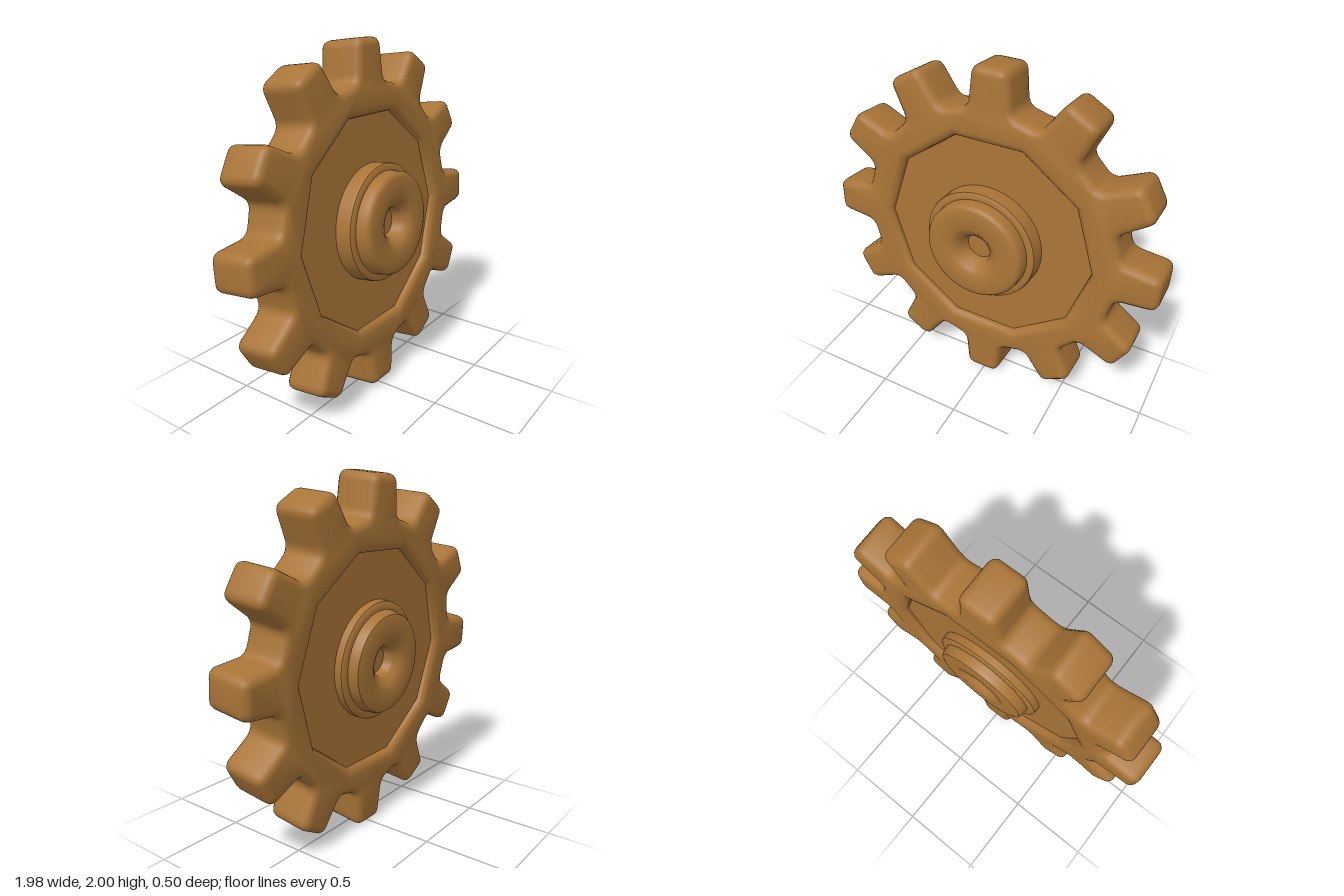
import * as THREE from 'three';
import { toCreasedNormals } from 'three/addons/utils/BufferGeometryUtils.js';

const TEETH = 12;
const FRONT = 0.1, BACK = -0.16, BEVEL = 0.042;

// Closed outline whose corners [x, y, rounding] are softened with quadratic curves
function roundedShape(corners) {
  const shape = new THREE.Shape();
  const n = corners.length;
  corners.forEach(([x, y, r], i) => {
    const p = new THREE.Vector2(x, y);
    const toward = (q) => new THREE.Vector2(q[0], q[1]).sub(p).setLength(r).add(p);
    const a = toward(corners[(i + n - 1) % n]);
    const b = toward(corners[(i + 1) % n]);
    if (i === 0) shape.moveTo(a.x, a.y);
    else shape.lineTo(a.x, a.y);
    shape.quadraticCurveTo(p.x, p.y, b.x, b.y);
  });
  shape.closePath();
  return shape;
}

// Toothed rim with a large round opening
function rimGeometry() {
  const corners = [];
  for (let i = 0; i < TEETH; i++) {
    const a = (i / TEETH) * Math.PI * 2, c = Math.cos(a), s = Math.sin(a);
    for (const [r, t, round] of [[0.765, -0.122, 0.045], [0.988, -0.1, 0.05], [0.988, 0.1, 0.05], [0.765, 0.122, 0.045]]) {
      corners.push([r * c - t * s, r * s + t * c, round]);
    }
  }
  const shape = roundedShape(corners);
  shape.holes.push(new THREE.Path().absarc(0, 0, 0.62, 0, Math.PI * 2, true));
  const geo = new THREE.ExtrudeGeometry(shape, {
    depth: FRONT - BACK - 2 * BEVEL, curveSegments: 5,
    bevelEnabled: true, bevelThickness: BEVEL, bevelSize: BEVEL, bevelOffset: -BEVEL, bevelSegments: 3,
  });
  geo.translate(0, 0, BACK + BEVEL);
  return toCreasedNormals(geo, 0.7);
}

// Solid of revolution about z; profile is [radius, z] from back to front
function turned(profile) {
  const geo = new THREE.LatheGeometry(profile.map(([r, z]) => new THREE.Vector2(r, z)), 64);
  geo.rotateX(Math.PI / 2);
  return toCreasedNormals(geo, 0.7);
}

export function createModel() {
  const bronze = new THREE.MeshStandardMaterial({ color: 0xa87437 });
  bronze.name = 'bronze';

  const gear = new THREE.Group();
  gear.name = 'gear';
  const add = (name, geo) => {
    // The wheel leans back while its axle rises slightly toward the front
    geo.applyMatrix4(new THREE.Matrix4().set(
      1, 0, 0, 0,
      0, 1, 0.12, 1.002,
      0, -0.055, 1, 0,
      0, 0, 0, 1));
    const mesh = new THREE.Mesh(geo, bronze);
    mesh.name = name;
    gear.add(mesh);
  };

  add('toothedRim', rimGeometry());

  // Thin disc filling the rim
  add('web', turned([[0, -0.12], [0.655, -0.12], [0.655, 0.06], [0, 0.06]]));

  // Stepped hub with a countersunk socket on both ends
  add('hub', turned([
    [0, -0.14], [0.075, -0.14], [0.085, -0.19], [0.125, -0.222], [0.15, -0.235],
    [0.25, -0.235], [0.272, -0.228], [0.28, -0.21], [0.285, -0.172],
    [0.315, -0.172], [0.328, -0.162], [0.33, -0.145],
    [0.33, 0.135], [0.326, 0.15], [0.312, 0.158], [0.288, 0.158],
    [0.284, 0.215], [0.274, 0.23], [0.255, 0.237],
    [0.15, 0.237], [0.125, 0.225], [0.085, 0.19], [0.075, 0.14], [0, 0.14],
  ]));

  return gear;
}
